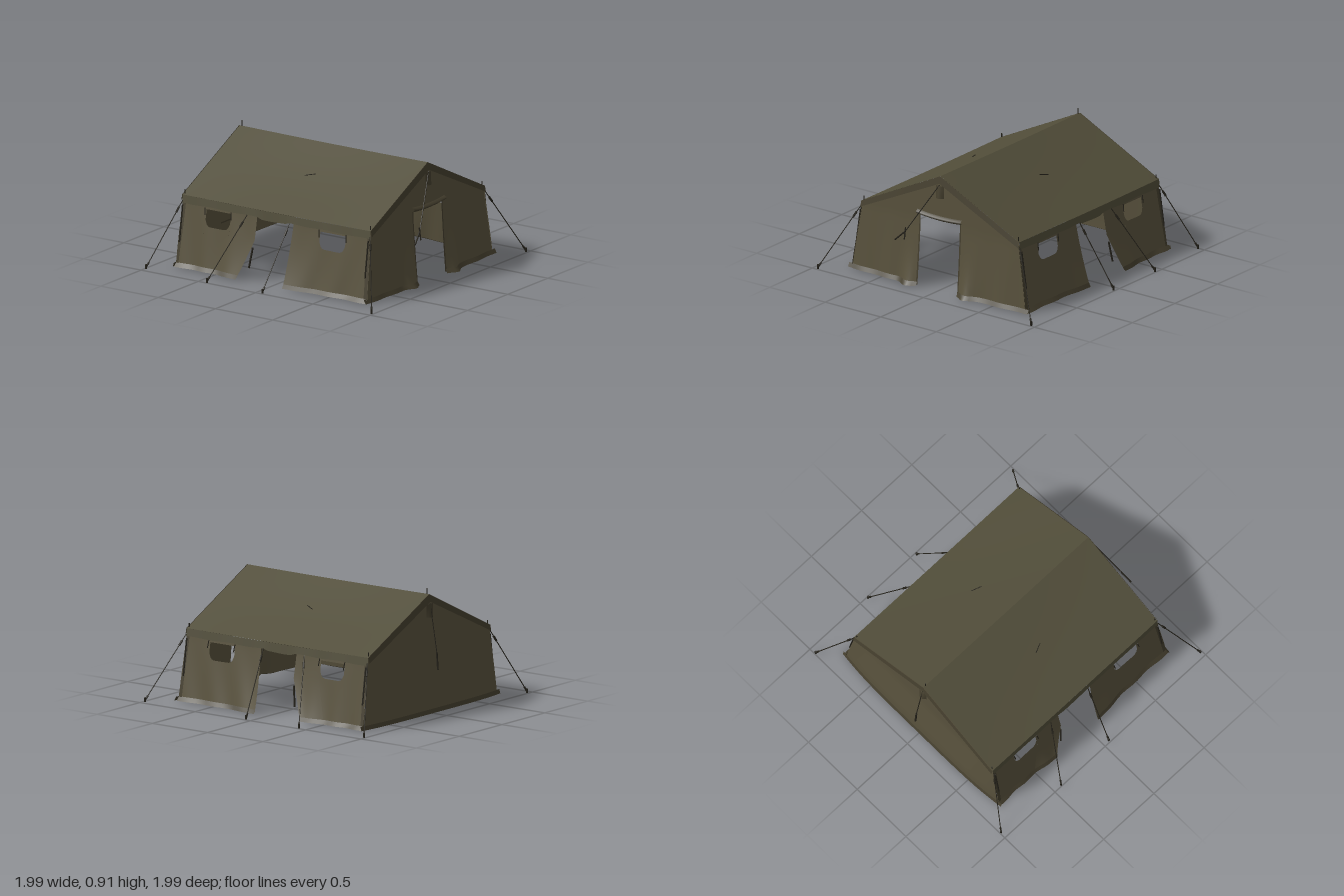
import * as THREE from 'three';

const cloth = (hex) => new THREE.MeshStandardMaterial({ color: hex, side: THREE.DoubleSide });
const named = (m, name) => { m.name = name; return m; };
const lerp = THREE.MathUtils.lerp;

export function createModel() {
  const tent = new THREE.Group();
  tent.name = 'tent';
  const roofMat = named(cloth(0x514d39), 'roofCanvas');
  const wallMat = named(cloth(0x59523d), 'wallCanvas');
  const trimMat = named(cloth(0x453f2e), 'hemCanvas');
  const ropeMat = named(new THREE.MeshStandardMaterial({ color: 0x26231b }), 'darkRope');

  const add = (name, geo, mat) => {
    const mesh = new THREE.Mesh(geo, mat);
    mesh.name = name;
    tent.add(mesh);
    return mesh;
  };

  // Cloth sheet: fn(s, t) gives a point, with s across and t up
  const sheet = (name, mat, ns, nt, fn) => {
    const pos = [], idx = [];
    for (let j = 0; j <= nt; j++)
      for (let i = 0; i <= ns; i++) pos.push(...fn(i / ns, j / nt));
    for (let j = 0; j < nt; j++)
      for (let i = 0; i < ns; i++) {
        const a = j * (ns + 1) + i, b = a + ns + 1;
        idx.push(a, a + 1, b, a + 1, b + 1, b);
      }
    const geo = new THREE.BufferGeometry();
    geo.setAttribute('position', new THREE.Float32BufferAttribute(pos, 3));
    geo.setIndex(idx);
    geo.computeVertexNormals();
    return add(name, geo, mat);
  };

  // Straight rope or pole between two points
  const rope = (name, a, b, r = 0.0035) => {
    const p = new THREE.Vector3(...a), q = new THREE.Vector3(...b);
    const d = q.clone().sub(p);
    const mesh = add(name, new THREE.CylinderGeometry(r, r, d.length(), 6), ropeMat);
    mesh.position.copy(p).add(q).multiplyScalar(0.5);
    mesh.quaternion.setFromUnitVectors(new THREE.Vector3(0, 1, 0), d.normalize());
    return mesh;
  };

  const FRONT = 0.8, BACK = -0.84, EAVE = 0.71;
  const roofY = (x) => 0.875 - 0.486 * Math.abs(x);

  // Roof slopes and eave valances
  for (const sx of [-1, 1]) {
    sheet('roofSlope', roofMat, 24, 12, (s, t) => {
      const x = EAVE * t, z = lerp(BACK, FRONT, s);
      const sag = 0.006 * Math.sin(Math.PI * s) * (0.6 + Math.sin(Math.PI * t));
      return [sx * x, roofY(x) - sag, z];
    });
    sheet('eaveValance', roofMat, 40, 3, (s, t) => {
      const z = lerp(BACK, FRONT, s);
      const droop = z < 0.1 && z > -0.18 ? 0.012 : 0;
      const bottom = 0.472 - droop + 0.003 * Math.sin(z * 19);
      return [sx * (EAVE + 0.008 * (1 - t)), lerp(bottom, roofY(EAVE) - 0.005 * Math.sin(Math.PI * s), t), z];
    });
  }

  // Gable valances hanging from both roof ends
  for (const [z, out] of [[FRONT, 1], [BACK, -1]])
    for (const sx of [-1, 1])
      sheet('gableValance', trimMat, 12, 2, (s, t) => {
        const x = EAVE * s;
        return [sx * x, roofY(x) - (1 - t) * (0.055 - 0.012 * s), z + out * (0.004 + 0.008 * (1 - t))];
      });

  // Side wall surface, front and rear panels on either side of the opening
  const down = (y) => Math.max(0, 1 - y / 0.5);
  const sideX = (s, y) => 0.703 + 0.078 * down(y) + 0.045 * s ** 3 * down(y) ** 2
    + 0.005 * Math.sin(s * 17 + y * 6) * down(y);
  const panelZ = {
    front: (s, y) => lerp(0.8 + 0.02 * down(y), 0.13 - 0.025 * down(y), s),
    rear: (s, y) => lerp(-0.835 - 0.015 * down(y), -0.19 - 0.11 * Math.max(0, 0.3 - y) / 0.28, s),
  };
  const W0 = 0.32, W1 = 0.65;
  const sill = (s) => 0.33 + 0.05 * Math.abs((2 * s - W0 - W1) / (W1 - W0)) ** 7;

  for (const sx of [-1, 1])
    for (const [end, zOf] of Object.entries(panelZ)) {
      const strip = (name, mat, s0, s1, n, m, lo, hi, out = 0) =>
        sheet(name, mat, n, m, (a, t) => {
          const s = lerp(s0, s1, a), y = lerp(lo(s), hi(s), t);
          return [sx * (sideX(s, y) + out), y, zOf(s, y)];
        });
      const floor = () => 0.02, top = () => 0.505;
      strip(end + 'SideWallCorner', wallMat, 0, W0, 8, 12, floor, top);
      strip(end + 'SideWallBelowWindow', wallMat, W0, W1, 16, 8, floor, sill);
      strip(end + 'SideWallAboveWindow', wallMat, W0, W1, 8, 1, () => 0.455, top);
      strip(end + 'SideWallInner', wallMat, W1, 1, 8, 12, floor, top);
      strip(end + 'CornerHem', trimMat, 0, 0.04, 1, 8, floor, top, 0.004);
      // Ground skirt
      sheet(end + 'SideSkirt', trimMat, 14, 2, (s, t) => {
        const y = 0.012 + 0.03 * t;
        return [sx * (sideX(s, y) + 0.002 + 0.018 * (1 - t) * (1.2 - s)), y, zOf(s, y)];
      });
      // Window ties
      for (const s of [W0 - 0.01, W1 + 0.01]) {
        const z = zOf(s, 0.45);
        rope('windowTie', [sx * 0.72, 0.47, z], [sx * 0.73, 0.415, z + 0.006], 0.004);
      }
    }

  // End walls: x runs from a to b at the base, narrowing with height
  const narrow = 0.705 / 0.782;
  const endWall = (name, a, b, lo, zOf, n) =>
    sheet(name, wallMat, n, 14, (s, t) => {
      const xb = lerp(a, b, s);
      const k = Math.abs(xb) <= 0.18 ? 1 : lerp(1, narrow, (Math.abs(xb) - 0.18) / 0.602);
      const yt = roofY(xb * k) - 0.004, y = lerp(lo, yt, t);
      const x = xb * lerp(1, k, t);
      return [x, y, zOf(x, y)];
    });
  const belly = (x) => Math.max(0, 1 - (Math.abs(x) / 0.8) ** 4);
  const frontZ = (x, y) => FRONT - 0.004 + down(y) * (0.018 + 0.015 * belly(x))
    + 0.05 * Math.exp(-(((Math.abs(x) - 0.26) / 0.055) ** 2)) * down(y) ** 3
    + 0.004 * Math.sin(x * 25) * down(y);
  const backZ = (x, y) => BACK + 0.004 - Math.min(1, 1.3 * down(y)) * (0.008 + 0.03 * belly(x));

  endWall('frontWall', 0.18, 0.782, 0.02, frontZ, 20);
  endWall('frontWall', -0.782, -0.18, 0.02, frontZ, 20);
  endWall('frontWallAboveDoor', -0.18, 0.18, 0.545, frontZ, 8);
  endWall('backWall', -0.782, 0.782, 0.02, backZ, 30);

  // End skirts and the seam low on the back wall
  const endSkirt = (name, a, b, zOf, out, y0, h, spread) =>
    sheet(name, trimMat, 20, 2, (s, t) => {
      const x = lerp(a, b, s), y = y0 + h * t;
      return [x, y, zOf(x, y) + out * (0.003 + spread * (1 - t))];
    });
  endSkirt('frontSkirt', 0.18, 0.81, frontZ, 1, 0.012, 0.03, 0.015);
  endSkirt('frontSkirt', -0.81, -0.18, frontZ, 1, 0.012, 0.03, 0.015);
  endSkirt('backSkirt', -0.81, 0.81, backZ, -1, 0.012, 0.03, 0.01);
  endSkirt('backWallSeam', -0.2, 0.2, backZ, 1, 0.185, 0.01, 0.001);

  // Rolled door flap over the entrance and hems down its edges
  sheet('doorCanopy', trimMat, 10, 3, (s, t) => {
    const x = lerp(-0.2, 0.2, s);
    return [x, 0.537 + 0.035 * t + 0.012 * (2 * s - 1) ** 2, FRONT + 0.006 + 0.022 * Math.sin(Math.PI * t)];
  });
  for (const sx of [-1, 1])
    sheet('doorHem', trimMat, 1, 10, (s, t) => {
      const x = sx * lerp(0.176, 0.188, s), y = lerp(0.02, 0.545, t);
      return [x, y, frontZ(x, y) + 0.004];
    });

  // Gable vent hoods
  for (const [z, out] of [[FRONT, 1], [BACK, -1]])
    sheet('ventHood', trimMat, 6, 3, (s, t) => {
      const x = lerp(-0.036, 0.036, s);
      return [x, 0.71 + 0.095 * t, z + out * (0.006 + 0.022 * Math.sin(Math.PI * s) * (1 - 0.6 * t))];
    });

  // Guy ropes with pegs and tension sliders
  const guy = (a, b) => {
    rope('guyRope', a, b);
    const at = (k) => a.map((v, i) => lerp(v, b[i], k));
    rope('ropeSlider', at(0.1), at(0.18), 0.008);
    rope('ropeEnd', at(0.93), at(1), 0.007);
    rope('groundPeg', [b[0], 0.04, b[2]], [b[0], 0.008, b[2]], 0.008);
  };
  for (const sx of [-1, 1]) {
    guy([sx * 0.715, 0.49, 0.8], [sx * 0.96, 0.02, 0.985]);
    guy([sx * 0.715, 0.49, -0.835], [sx * 0.95, 0.02, -0.99]);
    guy([sx * 0.72, 0.475, 0.1], [sx * 0.985, 0.02, 0.05]);
    guy([sx * 0.72, 0.475, -0.27], [sx * 0.99, 0.02, -0.43]);
    // Hanging corner lacing, pole tips and the tied door edge
    for (const z of [0.79, -0.83]) {
      rope('cornerLacing', [sx * 0.725, 0.46, z], [sx * 0.765, 0.19, z], 0.006);
      rope('eavePoleTip', [sx * 0.695, 0.52, z], [sx * 0.695, 0.565, z], 0.004);
    }
    rope('doorTie', [sx * 0.75, 0.25, -0.2], [sx * 0.77, 0.1, -0.22], 0.007);
    rope('roofCord', [sx * 0.3, 0.73, 0.03], [sx * 0.33, 0.715, -0.04], 0.003);
  }

  // Loose ropes at both gables and the ridge pole tip
  rope('frontRidgeRope', [0, 0.81, 0.81], [-0.24, 0.43, 0.9]);
  rope('frontRidgeRopeEnd', [-0.24, 0.46, 0.895], [-0.24, 0.37, 0.91], 0.005);
  rope('frontRidgeRopeTail', [-0.24, 0.43, 0.9], [-0.32, 0.355, 0.915], 0.006);
  rope('backRidgeRope', [0, 0.81, -0.85], [0, 0.46, -0.91]);
  rope('backRidgeRopeEnd', [0, 0.46, -0.91], [0, 0.33, -0.92], 0.007);
  rope('ridgePoleTip', [0, 0.86, -0.82], [0, 0.915, -0.82], 0.004);
  return tent;
}
